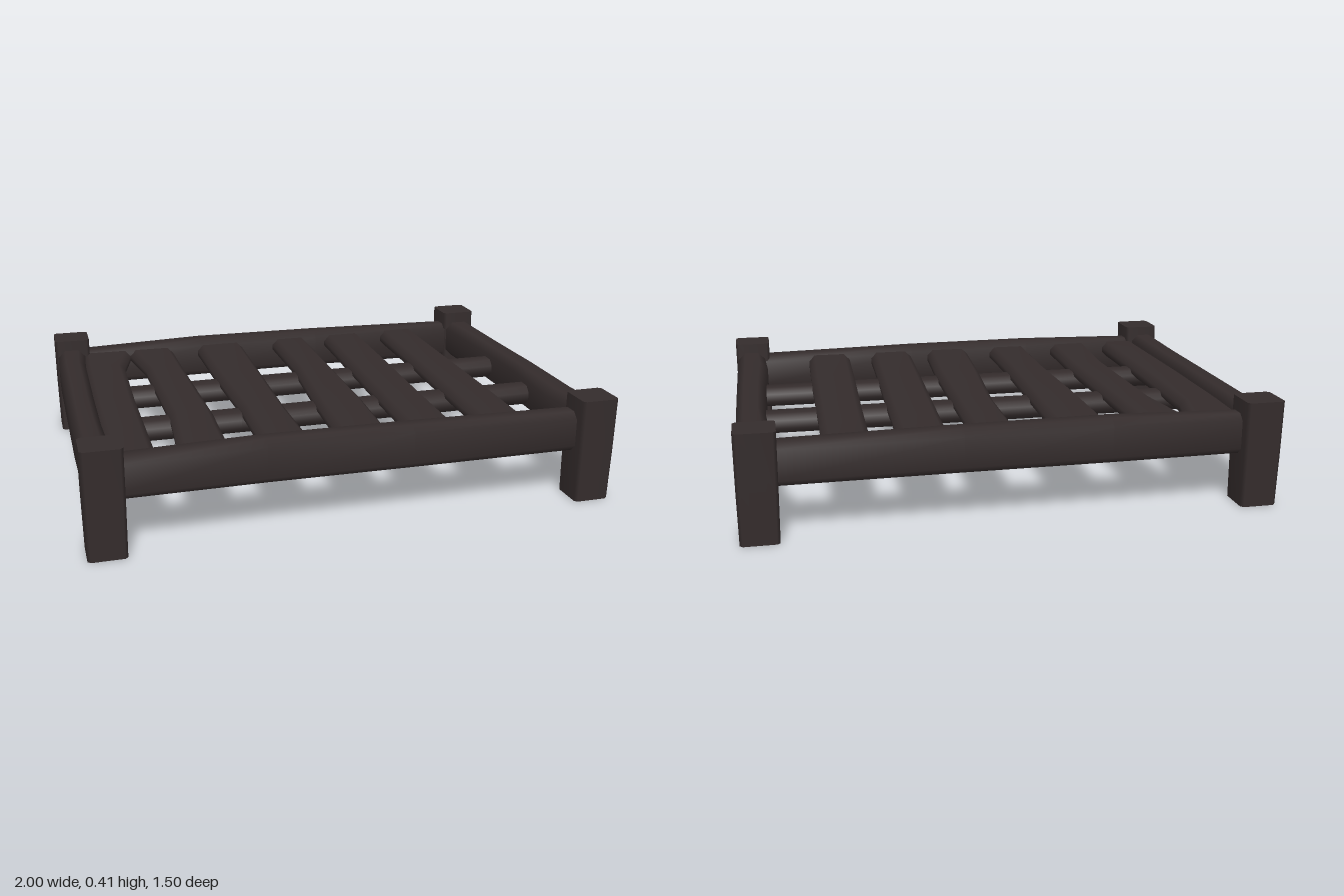
import * as THREE from 'three';

const darkWood = new THREE.MeshStandardMaterial({ color: 0x342c2c });
darkWood.name = 'darkWood';

// Hewn beam lofted along an axis through stations [t, a0, a1, b0, b1].
// Axis z: a = x, b = y.  Axis x: a = z, b = y.  Axis y: a = x, b = z.
function beam(name, axis, stations, chamfer = 0.25) {
  const place = {
    x: (a, b, t) => [t, b, a],
    y: (a, b, t) => [a, t, b],
    z: (a, b, t) => [a, b, t],
  }[axis];
  const flip = axis !== 'z';
  const pos = [], index = [], N = 8;
  const tri = (a, b, c) => (flip ? index.push(a, c, b) : index.push(a, b, c));

  const ring = ([t, a0, a1, b0, b1]) => {
    const c = Math.min(a1 - a0, b1 - b0) * chamfer;
    const corners = [
      [a0 + c, b0], [a1 - c, b0], [a1, b0 + c], [a1, b1 - c],
      [a1 - c, b1], [a0 + c, b1], [a0, b1 - c], [a0, b0 + c],
    ];
    for (const [a, b] of corners) pos.push(...place(a, b, t));
  };

  // Smooth sides
  stations.forEach(ring);
  for (let s = 0; s < stations.length - 1; s++) {
    for (let i = 0; i < N; i++) {
      const p = s * N + i, q = s * N + (i + 1) % N;
      tri(p, q, q + N);
      tri(p, q + N, p + N);
    }
  }
  // Flat end caps with their own vertices
  const start = stations.length * N, end = start + N;
  ring(stations[0]);
  ring(stations[stations.length - 1]);
  for (let i = 1; i < N - 1; i++) {
    tri(start, start + i + 1, start + i);
    tri(end, end + i, end + i + 1);
  }

  const geo = new THREE.BufferGeometry();
  geo.setAttribute('position', new THREE.Float32BufferAttribute(pos, 3));
  geo.setIndex(index);
  geo.computeVertexNormals();
  const mesh = new THREE.Mesh(geo, darkWood);
  mesh.name = name;
  return mesh;
}

export function createModel() {
  const group = new THREE.Group();
  group.name = 'bedFrame';

  // Corner posts, slightly wider at the top
  for (const sx of [-1, 1]) {
    for (const sz of [-1, 1]) {
      const level = (y, xi, xo, zi, zo) => [
        y, Math.min(sx * xi, sx * xo), Math.max(sx * xi, sx * xo),
        Math.min(sz * zi, sz * zo), Math.max(sz * zi, sz * zo),
      ];
      const name = (sz > 0 ? 'front' : 'back') + (sx > 0 ? 'Left' : 'Right') + 'Post';
      group.add(beam(name, 'y', [
        level(0, 0.858, 0.998, 0.6, 0.738),
        level(0.2, 0.855, 1, 0.6, 0.745),
        level(0.412, 0.853, 1, 0.607, 0.75),
      ], 0.08));
    }
  }

  // End rails across the front and back, with a gently uneven top
  group.add(beam('frontRail', 'x', [
    [-0.92, 0.605, 0.705, 0.2, 0.355], [-0.35, 0.605, 0.7, 0.2, 0.368],
    [0.2, 0.605, 0.705, 0.198, 0.365], [0.92, 0.6, 0.705, 0.195, 0.352],
  ]));
  group.add(beam('backRail', 'x', [
    [-0.92, -0.705, -0.61, 0.2, 0.355], [-0.35, -0.715, -0.61, 0.2, 0.37],
    [0.2, -0.715, -0.61, 0.2, 0.366], [0.92, -0.705, -0.61, 0.195, 0.354],
  ]));

  // Side rails
  group.add(beam('rightRail', 'z', [
    [-0.68, -0.99, -0.87, 0.2, 0.37], [-0.45, -0.995, -0.885, 0.2, 0.365],
    [0, -0.995, -0.89, 0.2, 0.365], [0.3, -0.995, -0.89, 0.195, 0.365],
    [0.68, -0.99, -0.88, 0.205, 0.375],
  ]));
  group.add(beam('leftRail', 'z', [
    [-0.68, 0.86, 0.99, 0.2, 0.365], [-0.25, 0.885, 0.995, 0.2, 0.36],
    [0.1, 0.88, 0.995, 0.2, 0.365], [0.45, 0.865, 0.995, 0.198, 0.365],
    [0.68, 0.88, 0.99, 0.205, 0.375],
  ]));

  // Lengthwise slats: [z, x0, x1] at each station
  const slats = [
    [[-0.66, -0.88, -0.66], [-0.42, -0.89, -0.72], [0, -0.895, -0.73], [0.66, -0.89, -0.73]],
    [[-0.66, -0.68, -0.48], [-0.35, -0.635, -0.475], [0.25, -0.625, -0.46], [0.66, -0.655, -0.47]],
    [[-0.66, -0.365, -0.155], [-0.2, -0.36, -0.165], [0.25, -0.345, -0.175], [0.66, -0.35, -0.17]],
    [[-0.66, -0.01, 0.155], [-0.2, -0.01, 0.15], [0.25, -0.045, 0.145], [0.66, -0.065, 0.125]],
    [[-0.66, 0.245, 0.425], [-0.2, 0.23, 0.415], [0.25, 0.215, 0.4], [0.66, 0.205, 0.39]],
    [[-0.66, 0.525, 0.695], [-0.2, 0.515, 0.69], [0.25, 0.5, 0.685], [0.66, 0.49, 0.675]],
  ];
  slats.forEach((slat, i) => group.add(beam('slat' + (i + 1), 'z',
    slat.map(([z, x0, x1]) => [z, x0, x1, 0.275, 0.345]), 0.35)));

  // Cross bars under the slats
  [-0.165, 0.22].forEach((z, i) => group.add(beam('crossBar' + (i + 1), 'x', [
    [-0.93, z - 0.05, z + 0.05, 0.235, 0.315], [-0.35, z - 0.055, z + 0.055, 0.235, 0.315],
    [0.4, z - 0.055, z + 0.055, 0.235, 0.315], [0.93, z - 0.05, z + 0.05, 0.235, 0.315],
  ], 0.3)));

  return group;
}
